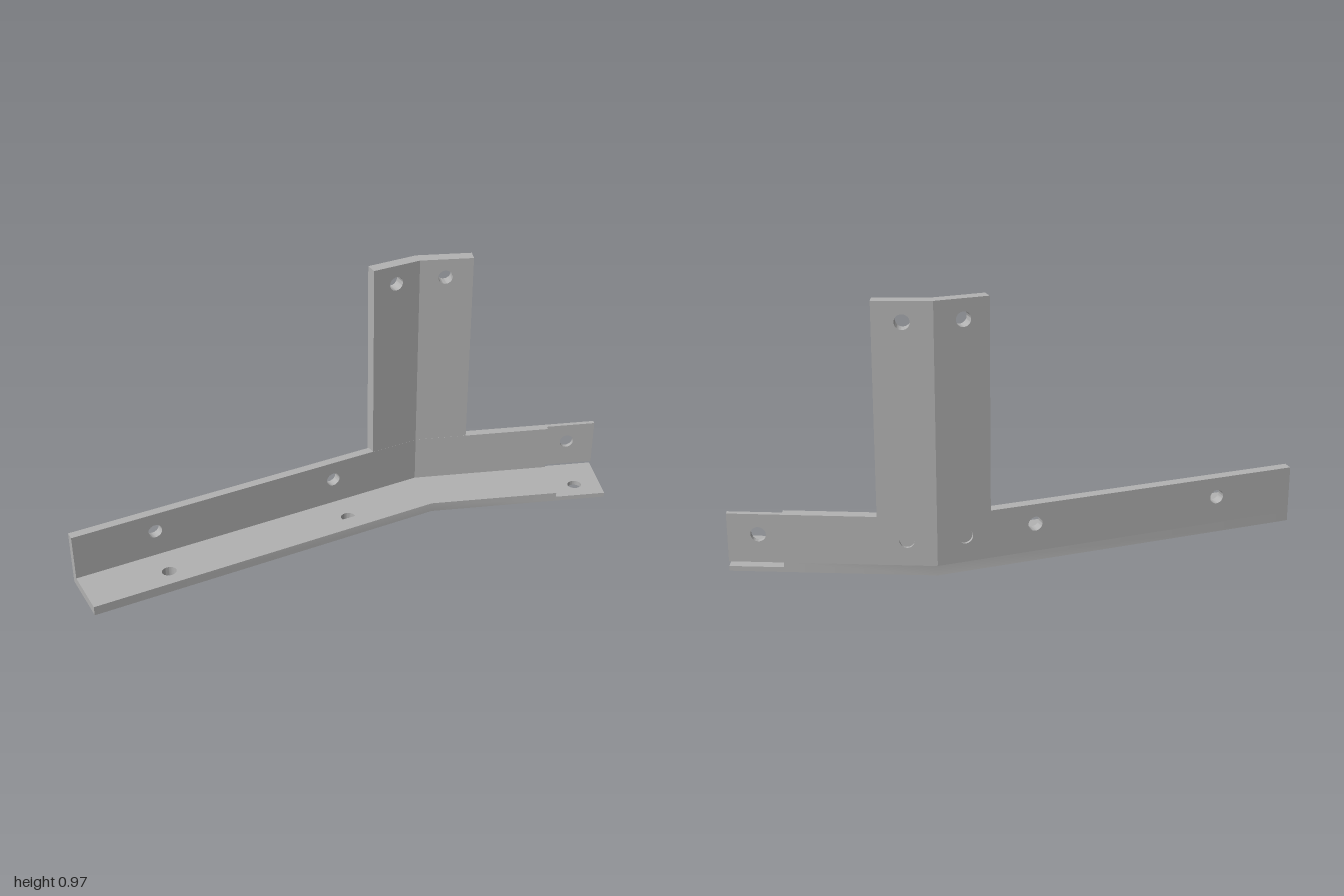
import * as THREE from 'three';
import { toCreasedNormals } from 'three/addons/utils/BufferGeometryUtils.js';

const T = 0.035;            // metal thickness
const HALF = T / 2;         // thickness of the stepped end
const WIDTH = 0.23;         // floor flange width
const HEIGHT = 0.21;        // wall flange height
const STEP = 0.186;         // length of the stepped end
const L1 = 1.367, L2 = 0.706; // arm lengths from the bend
const R = 0.026;            // bolt hole radius
const BEND = [0.387, -0.175];
const A1 = Math.atan(0.1515), A2 = Math.atan(0.571);
const MITRE = Math.tan((A2 - A1) / 2);

// Point in plan: s along an arm (negative = long arm), t inward from the outer face
function plan(angle, s, t) {
  const c = Math.cos(angle), n = Math.sin(angle);
  return [BEND[0] + c * s - n * t, BEND[1] + n * s + c * t];
}

// Gentle slope of the angle iron
const slope = (x, z) => 0.02 - 0.006 * x + 0.06 * z;

function outline(points, holes) {
  const shape = new THREE.Shape(points.map(p => new THREE.Vector2(p[0], p[1])));
  for (const [x, y] of holes) {
    shape.holes.push(new THREE.Path().absarc(x, y, R, 0, Math.PI * 2, true));
  }
  return shape;
}

// Extrude an outline, then place every vertex by a rule
function extrude(shape, depth, place) {
  const g = new THREE.ExtrudeGeometry(shape, { depth, bevelEnabled: false, curveSegments: 24 });
  const p = g.attributes.position;
  for (let i = 0; i < p.count; i++) {
    p.setXYZ(i, ...place(p.getX(i), p.getY(i), p.getZ(i)));
  }
  return toCreasedNormals(g, 0.5);
}

// Upright panel along one arm, mitred where it meets the bend
function panel(angle, s0, s1, y0, y1, t0, t1, holes, sloped) {
  const shape = outline([[s0, y0], [s1, y0], [s1, y1], [s0, y1]], holes);
  const side = angle === A1 ? -1 : 1;
  return extrude(shape, t1 - t0, (s, y, d) => {
    const t = t0 + d;
    const [x, z] = plan(angle, Math.abs(s) < 1e-6 ? side * t * MITRE : s, t);
    return [x, y + (sloped ? slope(x, z) : 0), z];
  });
}

// Flat plate drawn in plan, lying on the slope
function plate(points, holes, top) {
  return extrude(outline(points, holes), top, (x, z, d) => [x, top - d + slope(x, z), z]);
}

export function createModel() {
  const model = new THREE.Group();
  const steel = new THREE.MeshStandardMaterial({ color: 0xb2b2b2 });
  steel.name = 'steel';
  const add = (name, geometry) => {
    const mesh = new THREE.Mesh(geometry, steel);
    mesh.name = name;
    model.add(mesh);
  };

  // Floor flange and its thin stepped end
  const cut = L2 - STEP;
  add('floorFlange', plate([
    plan(A1, -L1, 0), plan(A1, 0, 0), plan(A2, cut, 0),
    plan(A2, cut, WIDTH), plan(A2, WIDTH * MITRE, WIDTH), plan(A1, -L1, WIDTH),
  ], [[-0.69, -0.18], [0.01, -0.075]], T));
  add('floorEndTab', plate([
    plan(A2, cut, 0), plan(A2, L2, 0), plan(A2, L2, WIDTH), plan(A2, cut, WIDTH),
  ], [[0.84, 0.26]], HALF));

  // Wall flange, with a thin end separated from the floor by a slot
  add('longWall', panel(A1, -L1, 0, T, HEIGHT, 0, T, [[-1.065, 0.137], [-0.358, 0.137]], true));
  add('shortWall', panel(A2, 0, cut, T, HEIGHT, 0, T, [], true));
  add('wallEndTab', panel(A2, cut, L2, T, HEIGHT, 0, HALF, [[0.602, 0.137]], true));

  // Bent upright post plate across the corner
  const bolts = s => [[s, 0.14], [s, 0.9]];
  add('postLeftHalf', panel(A1, -0.19, 0, 0.05, 0.97, -0.01, T - 0.0005, bolts(-0.1), false));
  add('postRightHalf', panel(A2, 0, 0.2, 0.05, 0.97, -0.01, T - 0.0005, bolts(0.1), false));

  return model;
}
